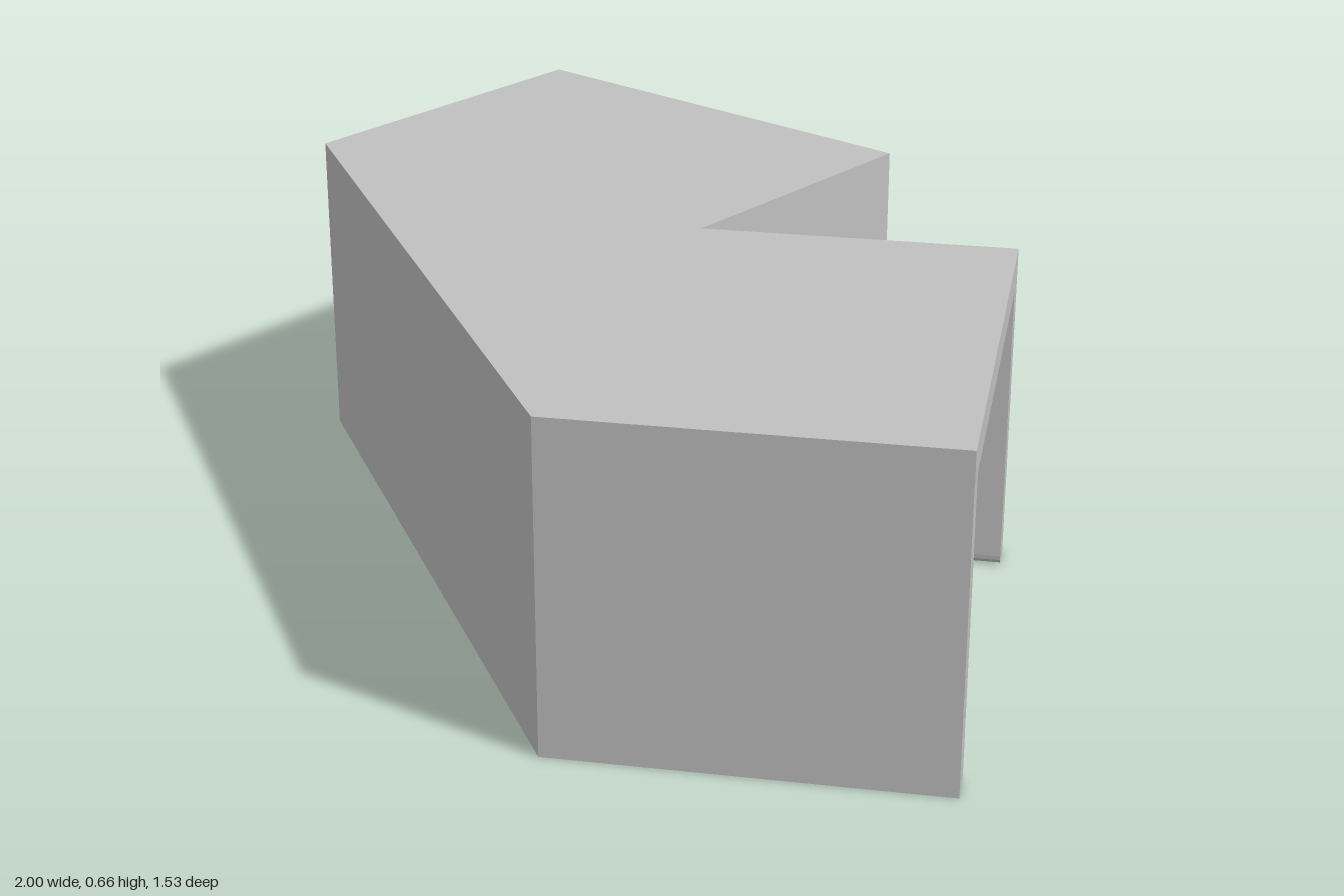
import * as THREE from 'three';

const H = 0.658;        // overall height
const T = 0.065;        // panel thickness
const W = 0.97;         // bay width
const D = 0.745;        // bay depth
const WALL = H - T;     // wall height below the roof

// Upright prism from a plan outline of [x, z] points
function prism(points, y, height) {
  const shape = new THREE.Shape(points.map(([x, z]) => new THREE.Vector2(x, -z)));
  const geo = new THREE.ExtrudeGeometry(shape, { depth: height, bevelEnabled: false });
  return geo.rotateX(-Math.PI / 2).translate(0, y, 0);
}

// Side wall whose inner bottom edge is rounded; side is -1 or 1
function sideWallGeometry(side, r = 0.02) {
  const outer = side * W / 2, inner = side * (W / 2 - T);
  const s = new THREE.Shape();
  s.moveTo(outer, 0);
  s.lineTo(outer, WALL);
  s.lineTo(inner, WALL);
  s.lineTo(inner, r);
  s.quadraticCurveTo(inner, 0, inner + side * r, 0);
  s.closePath();
  return new THREE.ExtrudeGeometry(s, { depth: D, bevelEnabled: false, curveSegments: 4 });
}

export function createModel() {
  const grey = new THREE.MeshStandardMaterial({ color: 0xc0c0c0 });
  grey.name = 'grey';
  const model = new THREE.Group();
  model.name = 'angledDoubleBay';

  const add = (parent, name, geo) => {
    const mesh = new THREE.Mesh(geo, grey);
    mesh.name = name;
    parent.add(mesh);
  };

  // Flat roof over both bays and the wedge between them
  add(model, 'roof', prism([
    [-1, -0.765], [-0.03, -0.765], [-0.03, -0.136], [0.5145, -0.45],
    [1, 0.39], [0.3545, 0.7625], [-1, -0.02],
  ], WALL, T));

  // Slanted front wall closing the wedge
  add(model, 'frontWall', prism([
    [-1, -0.02], [0.3545, 0.7625], [0.2895, 0.65], [-0.87, -0.02],
  ], 0, WALL));

  // Two bays, open at the outer end and underneath, turned 60 degrees apart
  const bays = [
    { name: 'rightBay', x: -0.515, z: -0.765, turn: 0 },
    { name: 'leftBay', x: 0.757, z: -0.03, turn: -Math.PI / 3 },
  ];
  for (const { name, x, z, turn } of bays) {
    const bay = new THREE.Group();
    bay.name = name;
    for (const side of [-1, 1]) add(bay, 'sideWall', sideWallGeometry(side));
    add(bay, 'backWall',
      new THREE.BoxGeometry(W, WALL, T).translate(0, WALL / 2, D - T / 2));
    bay.position.set(x, 0, z);
    bay.rotation.y = turn;
    model.add(bay);
  }
  return model;
}
